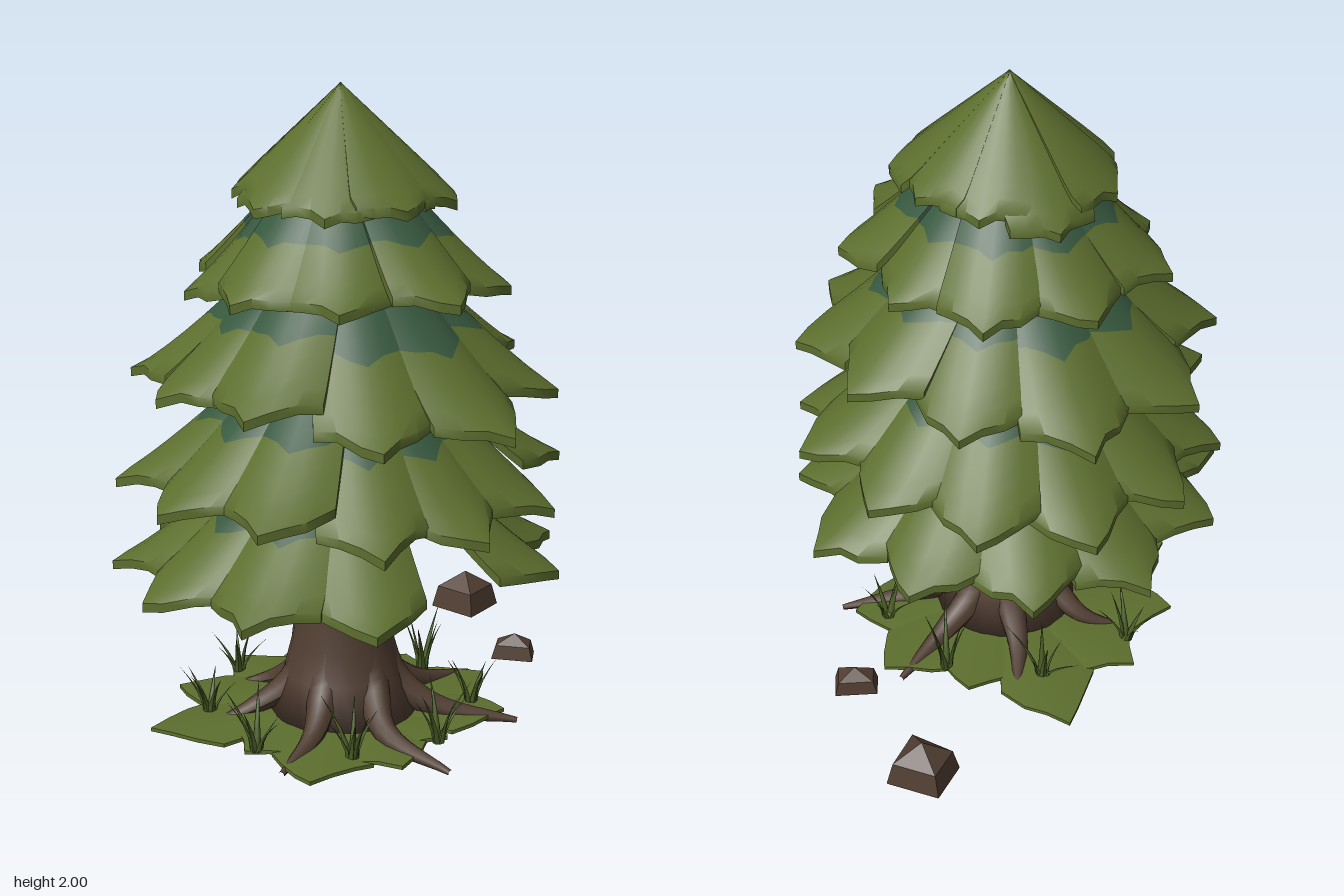
import * as THREE from 'three';
import { toCreasedNormals } from 'three/addons/utils/BufferGeometryUtils.js';
import { ConvexGeometry } from 'three/addons/geometries/ConvexGeometry.js';

const mat = (name, color) => new THREE.MeshStandardMaterial({ name, color });
const rad = THREE.MathUtils.degToRad;
const facing = deg => Math.PI / 2 - rad(deg);

function seeded(seed) {
  return () => (seed = (seed * 16807) % 2147483647) / 2147483647;
}

function add(parent, name, geometry, material) {
  const mesh = new THREE.Mesh(geometry, material);
  mesh.name = name;
  parent.add(mesh);
  return mesh;
}

function addGroup(parent, name) {
  const group = new THREE.Group();
  group.name = name;
  parent.add(group);
  return group;
}

// Arched slab reaching out along +z; material 0 is its inner part, material 1 its tip
function boughGeometry(o, rand) {
  const N = 7, ROWS = 10, pos = [], inner = [], tip = [];
  const ends = Array.from({ length: N }, (_, k) => {
    const u = Math.abs(k / (N - 1) * 2 - 1);
    return 1 - o.point * u ** 1.3 - (u > 0 ? rand() * 0.05 : 0);
  });
  for (let i = 0; i <= ROWS; i++) {
    for (let j = 0; j < 2 * N; j++) {
      const k = j < N ? j : 2 * N - 1 - j;
      const u = k / (N - 1) * 2 - 1;
      const t = (i / ROWS) * ends[k];
      const w = o.width * Math.min(1, o.root + (1 - o.root) * t * 1.35) * (1 - 0.15 * Math.max(0, t - 0.7));
      const y = o.y1 + (o.y0 - o.y1) * (1 - t) ** o.flare - o.arch * w * u * u;
      pos.push(u * w, y - (j < N ? 0 : o.thick), o.r0 + (o.r1 - o.r0) * t);
    }
  }
  for (let i = 0; i < ROWS; i++) {
    for (let j = 0; j < 2 * N; j++) {
      const a = i * 2 * N + j, b = i * 2 * N + (j + 1) % (2 * N), c = a + 2 * N, d = b + 2 * N;
      const under = j >= N && j < 2 * N - 1;
      (i < (under ? o.underSplit : o.split) ? inner : tip).push(a, c, b, b, c, d);
    }
  }
  const last = ROWS * 2 * N;
  for (let k = 0; k < N - 1; k++) {
    const a = last + k, b = last + 2 * N - 1 - k;
    tip.push(a, b, b - 1, a, b - 1, a + 1);
  }
  const g = new THREE.BufferGeometry();
  g.setAttribute('position', new THREE.Float32BufferAttribute(pos, 3));
  g.setIndex([...inner, ...tip]);
  if (inner.length) g.addGroup(0, inner.length, 0);
  g.addGroup(inner.length, tip.length, 1);
  return toCreasedNormals(g, 0.8);
}

// Tapered tube running down the trunk foot and out along +z
function rootGeometry(reach, bend) {
  const steps = 14, sides = 9;
  const curve = new THREE.CatmullRomCurve3([
    new THREE.Vector3(0, 0.32, 0.07), new THREE.Vector3(0, 0.15, 0.15),
    new THREE.Vector3(bend, 0.06, 0.28), new THREE.Vector3(0, 0.012, reach)]);
  const g = new THREE.TubeGeometry(curve, steps, 0.075, sides);
  const p = g.attributes.position, v = new THREE.Vector3();
  for (let i = 0; i < p.count; i++) {
    const t = Math.floor(i / (sides + 1)) / steps;
    const c = curve.getPointAt(t);
    v.fromBufferAttribute(p, i).sub(c).multiplyScalar(1 - 0.88 * t).add(c);
    p.setXYZ(i, v.x, Math.max(0, v.y), v.z);
  }
  g.computeVertexNormals();
  return g;
}

// Narrow cone bent over towards +z
function bladeGeometry(h, lean) {
  const g = new THREE.ConeGeometry(0.014, h, 4, 4).translate(0, h / 2, 0);
  const p = g.attributes.position;
  for (let k = 0; k < p.count; k++) {
    const t = Math.max(0, p.getY(k) / h);
    p.setZ(k, p.getZ(k) * 0.5 + 0.012 + lean * t ** 1.6);
  }
  g.computeVertexNormals();
  return g;
}

// Faceted stone: a four-cornered base, a shoulder ring and a peak
function stoneGeometry(width, height, depth) {
  const pts = [new THREE.Vector3(0, height, 0)];
  for (let i = 0; i < 4; i++) {
    const a = rad(45 + i * 90) + 0.15 * Math.sin(i * 2);
    const x = Math.cos(a) * width * 0.7, z = Math.sin(a) * depth * 0.7;
    pts.push(new THREE.Vector3(x, 0, z), new THREE.Vector3(x * 0.82, height * 0.57, z * 0.82));
  }
  return new ConvexGeometry(pts);
}

export function createModel() {
  const rand = seeded(4217);
  const bark = mat('bark brown', 0x513e32);
  const darkLeaf = mat('deep green', 0x37583f);
  const lightLeaf = mat('olive green', 0x5c6e2e);
  const grass = mat('grass green', 0x4c6128);

  const model = new THREE.Group();
  model.name = 'pineTree';
  const tree = addGroup(model, 'tree');
  tree.position.set(0.03, 0, 0.1);

  // Trunk with a flared foot
  const profile = [[0, 0.02], [0.24, 0.02], [0.185, 0.17], [0.16, 0.27], [0.145, 0.4],
    [0.13, 0.65], [0.1, 1.1], [0, 1.82]].map(([r, y]) => new THREE.Vector2(r, y));
  add(tree, 'trunk', new THREE.LatheGeometry(profile, 24), bark);

  // Roots, longer towards the model's left
  for (const deg of [6, 65, 120, 165, 230, 275, 319]) {
    const g = rootGeometry(0.48 + 0.07 * Math.cos(rad(deg + 30)), (rand() - 0.5) * 0.1);
    add(tree, 'root', g, bark).rotation.y = facing(deg);
  }

  // Bough tiers: evenly turned boughs; side and sag change reach and tip height towards +x and -x
  const style = { root: 0.45, r0: 0.08, split: 6, underSplit: 9, flare: 1.2, point: 0.24, arch: 0.42, thick: 0.028 };
  const tiers = [
    { name: 'crownTier', count: 9, start: 10, step: 40, reach: 0.33, side: 0.01, tipY: 1.68, sag: 0.01,
      y0: 2, r0: 0, root: 0.02, width: 0.135, split: 0, underSplit: 8, flare: 1, point: 0.14, arch: 0.3 },
    { name: 'upperTier', count: 9, start: 3, step: 40, reach: 0.48, side: 0.03, tipY: 1.41, sag: 0, y0: 1.84, width: 0.15 },
    { name: 'middleTier', count: 10, start: -4, step: 36, reach: 0.6, side: 0.06, tipY: 1.15, sag: 0.09, y0: 1.63, width: 0.175 },
    { name: 'lowerTier', count: 12, start: 2, step: 30, reach: 0.69, side: -0.03, tipY: 0.85, sag: 0.11, y0: 1.33, width: 0.17 },
    { name: 'bottomTier', count: 10, start: 34, step: 32.3, reach: 0.7, side: -0.02, tipY: 0.54, sag: 0.02, y0: 1.04, width: 0.175 },
  ];
  for (const { name, count, start, step, reach, side, tipY, sag, ...shape } of tiers) {
    const tier = addGroup(tree, name);
    for (let i = 0; i < count; i++) {
      const deg = start + i * step, sideways = Math.cos(rad(deg)) ** 2;
      const r1 = reach + side * sideways + (rand() - 0.5) * 0.04;
      const y1 = tipY - sag * sideways + (rand() - 0.5) * 0.05;
      const g = boughGeometry({ ...style, ...shape, r1, y1 }, rand);
      add(tier, 'bough', g, [darkLeaf, lightLeaf]).rotation.y = facing(deg);
    }
  }

  // Flat leafy patch of turf
  const turf = addGroup(tree, 'turf');
  for (let i = 0; i < 11; i++) {
    const deg = 20 + i * 360 / 11;
    const r1 = 0.52 + 0.08 * Math.sin(i * 2.4) - 0.06 * Math.cos(rad(deg));
    const g = boughGeometry({ y0: 0.06, y1: 0.032, r0: 0, r1, root: 0.2, width: 0.17, split: 0, underSplit: 0,
      flare: 1, point: 0.3, arch: 0.1, thick: 0.012 }, rand);
    add(turf, 'turfLeaf', g, [darkLeaf, lightLeaf]).rotation.y = facing(deg);
  }

  // Tufts of bent grass blades
  for (let n = 0; n < 8; n++) {
    const tuft = addGroup(tree, 'grassTuft');
    const a = rad(38 + n * 45), dist = 0.36 + rand() * 0.1;
    tuft.position.set(Math.cos(a) * dist, 0.025, Math.sin(a) * dist);
    for (let i = 0; i < 6; i++) {
      const g = bladeGeometry(0.1 + rand() * 0.1, 0.04 + rand() * 0.08);
      add(tuft, 'grassBlade', g, grass).rotation.y = i * 1.05 + rand();
    }
  }

  // Two stones behind the tree
  const largeStone = add(model, 'largeStone', stoneGeometry(0.165, 0.13, 0.165), bark);
  largeStone.position.set(-0.26, 0.06, -0.745);
  largeStone.rotation.y = 0.18;
  const smallStone = add(model, 'smallStone', stoneGeometry(0.13, 0.08, 0.09), bark);
  smallStone.position.set(0.15, 0.05, -0.56);
  smallStone.rotation.y = 0.65;
  return model;
}
